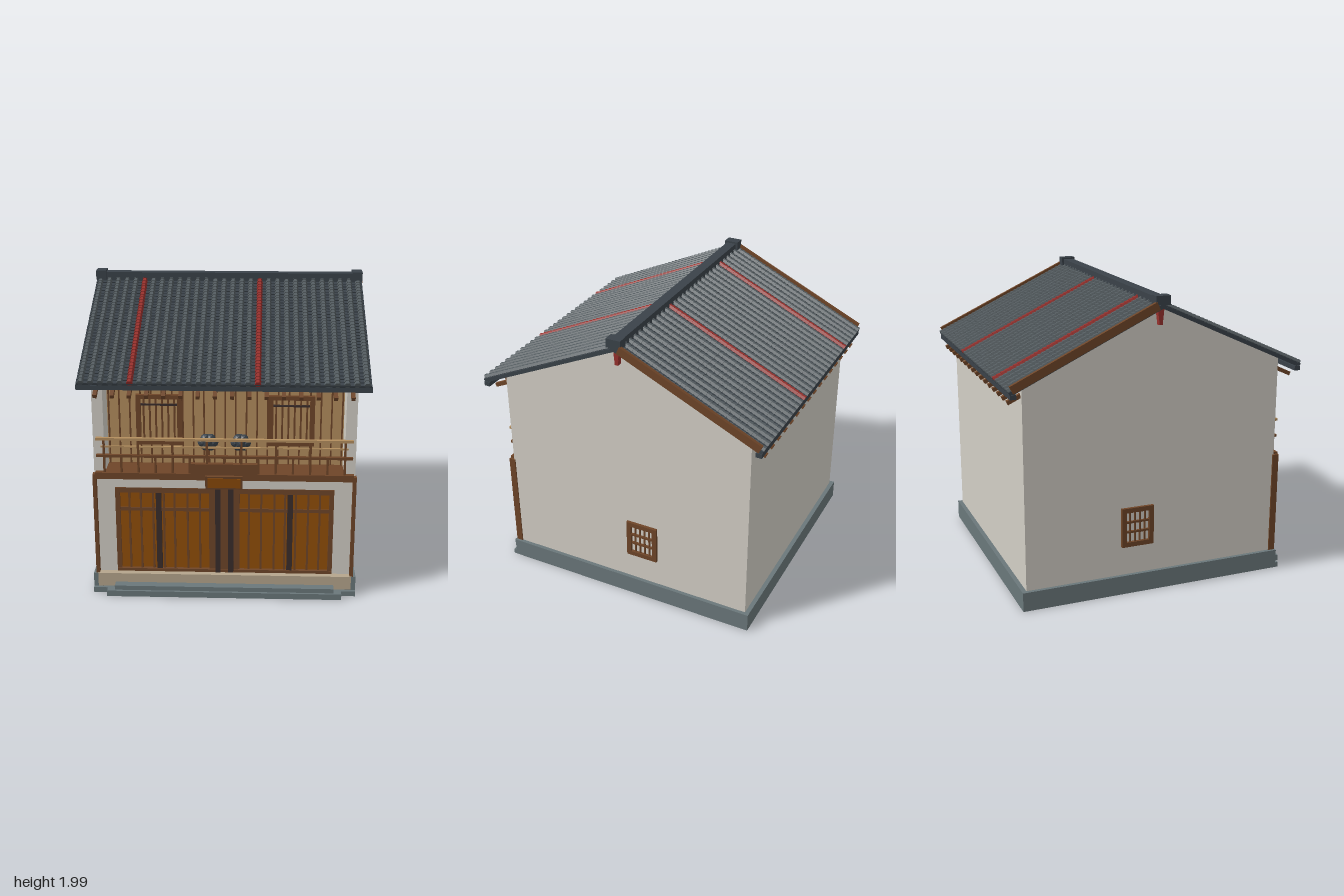
import * as THREE from 'three';
import { mergeGeometries } from 'three/addons/utils/BufferGeometryUtils.js';

const mat = (name, color) => {
  const m = new THREE.MeshStandardMaterial({ color });
  m.name = name;
  return m;
};

export function createModel() {
  const M = {
    plaster: mat('plaster', 0xd2cec5),
    stone: mat('stone', 0x6a777a),
    tile: mat('roof tile', 0x545c60),
    pan: mat('dark tile', 0x3a4249),
    red: mat('red tile', 0x96302c),
    brown: mat('brown wood', 0x6e4528),
    tan: mat('light wood', 0xb38d5e),
    amber: mat('amber door', 0x914e08),
    dark: mat('dark wood', 0x392d2b),
    sill: mat('sandstone', 0xb5a58c),
  };
  const root = new THREE.Group();
  root.name = 'townhouse';

  const add = (parent, name, geo, material) => {
    const m = new THREE.Mesh(geo, material);
    m.name = name;
    parent.add(m);
    return m;
  };
  const part = (name, parent = root) => {
    const g = new THREE.Group();
    g.name = name;
    parent.add(g);
    return g;
  };
  // box given by its limits on each axis
  const box = (parent, name, material, x0, x1, y0, y1, z0, z1) => {
    const m = add(parent, name, new THREE.BoxGeometry(x1 - x0, y1 - y0, z1 - z0), material);
    m.position.set((x0 + x1) / 2, (y0 + y1) / 2, (z0 + z1) / 2);
    return m;
  };
  const flat = (geo) => {
    const g = geo.index ? geo.toNonIndexed() : geo;
    g.computeVertexNormals();
    return g;
  };

  // hollow stone foundation, sill and steps
  const base = part('foundation');
  for (const s of [-1, 1]) {
    const [a, b] = s > 0 ? [0.8, 0.865] : [-0.865, -0.8];
    box(base, 'foundationSide', M.stone, a, b, 0, 0.13, -0.93, 0.91);
  }
  box(base, 'foundationBack', M.stone, -0.8, 0.8, 0, 0.13, -0.93, -0.86);
  box(base, 'foundationFront', M.stone, -0.8, 0.8, 0, 0.128, 0.84, 0.908);
  box(base, 'sill', M.sill, -0.835, 0.835, 0.04, 0.132, 0.85, 0.914);
  box(base, 'lowerStep', M.stone, -0.865, 0.865, 0, 0.035, 0.9, 0.93);
  box(base, 'middleStep', M.stone, -0.77, 0.77, 0, 0.04, 0.9, 0.985);
  box(base, 'upperStep', M.stone, -0.72, 0.72, 0.03, 0.07, 0.905, 0.97);
  box(base, 'groundFloor', M.dark, -0.81, 0.81, 0.005, 0.02, -0.56, 0.57);

  // plaster walls; gable outline runs along -z
  const walls = part('walls');
  const outline = new THREE.Shape();
  [[-0.87, 0.13], [0.9, 0.13], [0.9, 1.49], [0, 1.915], [-0.87, 1.505]]
    .forEach(([u, y], i) => (i ? outline.lineTo(u, y) : outline.moveTo(u, y)));
  const gable = new THREE.ExtrudeGeometry(outline, { depth: 0.03, bevelEnabled: false });
  gable.rotateY(Math.PI / 2);
  add(walls, 'rightGable', gable, M.plaster).position.x = -0.84;
  add(walls, 'leftGable', gable, M.plaster).position.x = 0.81;
  box(walls, 'backWall', M.plaster, -0.81, 0.81, 0.13, 1.49, -0.9, -0.87);
  box(walls, 'frontLintel', M.plaster, -0.81, 0.81, 0.73, 0.82, 0.83, 0.87);
  for (const s of [-1, 1]) {
    const span = (a, b) => (s > 0 ? [a, b] : [-b, -a]);
    box(walls, 'frontPier', M.plaster, ...span(0.71, 0.81), 0.13, 0.73, 0.83, 0.87);
    box(walls, 'balconyWing', M.plaster, ...span(0.77, 0.81), 0.83, 1.5, 0.68, 0.87);
    box(walls, 'cornerPost', M.brown, ...span(0.825, 0.848), 0.13, 0.83, 0.86, 0.905);
  }
  box(walls, 'upperFloor', M.dark, -0.81, 0.81, 0.79, 0.82, -0.87, 0.83);
  box(walls, 'balconyFloor', M.brown, -0.77, 0.77, 0.82, 0.835, 0.69, 0.88);
  box(walls, 'frontBeam', M.brown, -0.83, 0.83, 0.8, 0.843, 0.86, 0.905);

  // barred side windows
  for (const s of [-1, 1]) {
    const w = part(s > 0 ? 'leftWindow' : 'rightWindow');
    w.position.set(s * 0.84, 0.465, -0.135);
    w.rotation.y = s * Math.PI / 2;
    for (const k of [-1, 1]) {
      box(w, 'windowJamb', M.brown, k * 0.096 - 0.016, k * 0.096 + 0.016, -0.135, 0.135, -0.01, 0.02);
      box(w, 'windowRail', M.brown, -0.08, 0.08, k * 0.119 - 0.016, k * 0.119 + 0.016, -0.01, 0.02);
      box(w, 'windowCrossbar', M.brown, -0.08, 0.08, k * 0.034 - 0.007, k * 0.034 + 0.007, 0, 0.014);
    }
    for (let i = 0; i < 4; i++) {
      const x = -0.052 + i * 0.035;
      box(w, 'windowBar', M.brown, x - 0.005, x + 0.005, -0.105, 0.105, 0, 0.01);
    }
  }

  // shop doors
  const doors = part('doors');
  box(doors, 'doorHeader', M.brown, -0.71, 0.71, 0.695, 0.73, 0.83, 0.875);
  box(doors, 'doorThreshold', M.brown, -0.71, 0.71, 0.13, 0.152, 0.83, 0.875);
  box(doors, 'centrePost', M.brown, -0.1, 0.1, 0.13, 0.72, 0.83, 0.866);
  for (const s of [-1, 1]) {
    const bar = (name, m, x, w, z, y0 = 0.13, y1 = 0.7) =>
      box(doors, name, m, s * x - w / 2, s * x + w / 2, y0, y1, 0.84, z);
    bar('doorPanel', M.amber, 0.39, 0.6, 0.852, 0.15);
    bar('doorJamb', M.brown, 0.695, 0.03, 0.872);
    bar('doorRail', M.brown, 0.39, 0.6, 0.86, 0.562, 0.585);
    bar('doorPost', M.dark, 0.428, 0.036, 0.87);
    bar('centreStile', M.dark, 0.042, 0.034, 0.878, 0.13, 0.73);
    for (const x of [0.16, 0.24, 0.325, 0.395, 0.465, 0.545, 0.62]) bar('doorBar', M.brown, x, 0.013, 0.862);
  }

  // timber upper front
  const upper = part('upperFront');
  box(upper, 'boardWall', M.tan, -0.77, 0.77, 0.83, 1.58, 0.66, 0.69);
  for (let i = 0; i < 23; i++) {
    const x = -0.759 + i * 0.069;
    box(upper, 'batten', M.brown, x - 0.005, x + 0.005, 0.835, 1.58, 0.69, 0.698);
  }
  for (const s of [-1, 1]) {
    const w = part('upperWindow', upper);
    w.position.set(s * 0.43, 1.14, 0.69);
    box(w, 'upperWindowPane', M.tan, -0.13, 0.13, -0.15, 0.15, 0, 0.01);
    for (const k of [-1, 1]) {
      box(w, 'upperWindowJamb', M.brown, k * 0.134 - 0.016, k * 0.134 + 0.016, -0.17, 0.17, 0, 0.025);
      box(w, 'upperWindowRail', M.brown, -0.12, 0.12, k * 0.156 - 0.014, k * 0.156 + 0.014, 0, 0.025);
    }
    for (let i = 0; i < 6; i++) {
      const x = -0.1 + i * 0.04;
      box(w, 'upperWindowBar', M.brown, x - 0.006, x + 0.006, -0.15, 0.15, 0, 0.018);
    }
    box(w, 'upperWindowCrossbar', M.dark, -0.125, 0.125, 0.097, 0.109, 0, 0.022);
  }

  // balcony railing, planter, sign board and shrubs
  const balcony = part('balcony');
  box(balcony, 'topRail', M.tan, -0.82, 0.82, 1.062, 1.078, 0.875, 0.9);
  box(balcony, 'middleRail', M.tan, -0.79, 0.79, 1.012, 1.022, 0.88, 0.893);
  box(balcony, 'lowerRail', M.brown, -0.82, 0.82, 0.948, 0.964, 0.878, 0.9);
  for (let i = 0; i < 15; i++) {
    const x = -0.77 + i * 0.11, tall = i % 2 === 0;
    box(balcony, 'baluster', M.brown, x - 0.007, x + 0.007, 0.84, tall ? 1.07 : 0.955, 0.882, 0.895);
  }
  box(balcony, 'planter', M.brown, -0.215, 0.215, 0.843, 0.91, 0.87, 0.905);
  const sign = part('signBoard', balcony);
  sign.position.set(0, 0.79, 0.915);
  sign.rotation.x = 0.12;
  box(sign, 'signFrame', M.brown, -0.12, 0.12, -0.046, 0.046, -0.01, 0.008);
  box(sign, 'signPanel', M.amber, -0.105, 0.105, -0.033, 0.033, 0.006, 0.012);
  for (const s of [-1, 1]) {
    const shrub = part('shrub', balcony);
    shrub.position.set(s * 0.105, 1.035, 0.82);
    for (let i = 0; i < 7; i++) {
      const a = i * Math.PI / 3, r = i < 6 ? 0.035 : 0;
      const leaf = add(shrub, 'foliage', flat(new THREE.IcosahedronGeometry(r ? 0.032 : 0.052, 1)), M.pan);
      leaf.position.set(Math.cos(a) * r, Math.sin(a) * r * 0.8, r ? 0.012 : 0);
    }
    box(shrub, 'shrubStem', M.brown, -0.012, 0.012, -0.2, -0.03, -0.012, 0.012);
  }

  // roof slopes: stepped pans with rows of raised cover tiles
  const roof = part('roof');
  const ROWS = 36, LEN = 1.1, pitch = LEN / ROWS, angle = Math.atan(0.465);
  const cover = new THREE.CylinderGeometry(0.021, 0.016, pitch * 1.04, 6);
  cover.rotateY(Math.PI / 6);
  cover.rotateX(Math.PI / 2);
  const coverTile = flat(cover);
  const panTile = new THREE.BoxGeometry(1.82, 0.01, pitch * 1.08);
  panTile.rotateX(-0.18);
  const rowZ = (r) => (r + 0.5) * pitch;
  const column = (x) => Array.from({ length: ROWS }, (_, r) => coverTile.clone().translate(x, 0.009, rowZ(r)));
  const grey = [], red = [], pans = [];
  for (let i = 0; i < 30; i++) (i === 5 || i === 18 ? red : grey).push(...column(-0.882 + i * 0.0608));
  for (let r = 0; r < ROWS; r++) pans.push(panTile.clone().translate(0, 0.001, rowZ(r)));
  const greyGeo = mergeGeometries(grey), redGeo = mergeGeometries(red), panGeo = mergeGeometries(pans);
  // the red columns keep their x on both sides, so the back slope is mirrored by column
  for (const s of [1, -1]) {
    const side = part(s > 0 ? 'frontRoof' : 'backRoof', roof);
    side.rotation.y = s > 0 ? 0 : Math.PI;
    const slope = part('slope', side);
    slope.position.y = 1.93;
    slope.rotation.x = angle;
    box(slope, 'roofDeck', M.pan, -0.91, 0.91, -0.02, -0.002, 0, LEN);
    add(slope, 'panTiles', panGeo, M.pan);
    const turn = s > 0 ? (g) => g : (g) => flat(g.clone().applyMatrix4(new THREE.Matrix4().makeScale(-1, 1, 1)));
    const reverse = (g) => {
      if (s > 0) return g;
      const p = turn(g), a = p.attributes.position;
      for (let i = 0; i < a.count; i += 3) {
        const b = new THREE.Vector3().fromBufferAttribute(a, i + 1);
        a.setXYZ(i + 1, a.getX(i + 2), a.getY(i + 2), a.getZ(i + 2));
        a.setXYZ(i + 2, b.x, b.y, b.z);
      }
      p.computeVertexNormals();
      return p;
    };
    add(slope, 'coverTiles', reverse(greyGeo), M.tile);
    add(slope, 'redTiles', reverse(redGeo), M.red);
    box(side, 'eaveStrip', M.pan, -0.915, 0.915, 1.428, 1.458, 0.955, 0.995);
    for (let i = 0; i < 16; i++) {
      const rafter = add(side, 'rafter', new THREE.BoxGeometry(0.025, 0.026, 0.16), M.brown);
      rafter.position.set(-0.8 + i * 0.1067, 1.414, 0.91);
      rafter.rotation.x = angle;
    }
    if (s < 0) for (const k of [-1, 1])
      box(slope, 'bargeBoard', M.brown, k * 0.907 - 0.011, k * 0.907 + 0.011, -0.014, 0.04, 0.03, LEN - 0.02);
  }

  // ridge, end caps and gable pendants
  box(roof, 'ridge', M.pan, -0.9, 0.9, 1.915, 1.978, -0.035, 0.035);
  for (const s of [-1, 1]) {
    box(roof, 'ridgeCap', M.pan, s * 0.878 - 0.034, s * 0.878 + 0.034, 1.93, 1.99, -0.05, 0.05);
    const pendant = part('pendant', roof);
    pendant.position.x = s * 0.86;
    [[1.8, 0.012], [1.83, 0.015], [1.86, 0.018], [1.89, 0.021]].forEach(([y, w]) =>
      box(pendant, 'pendantStep', M.red, -0.018, 0.018, y, y + 0.032, -w, w));
  }
  return root;
}
